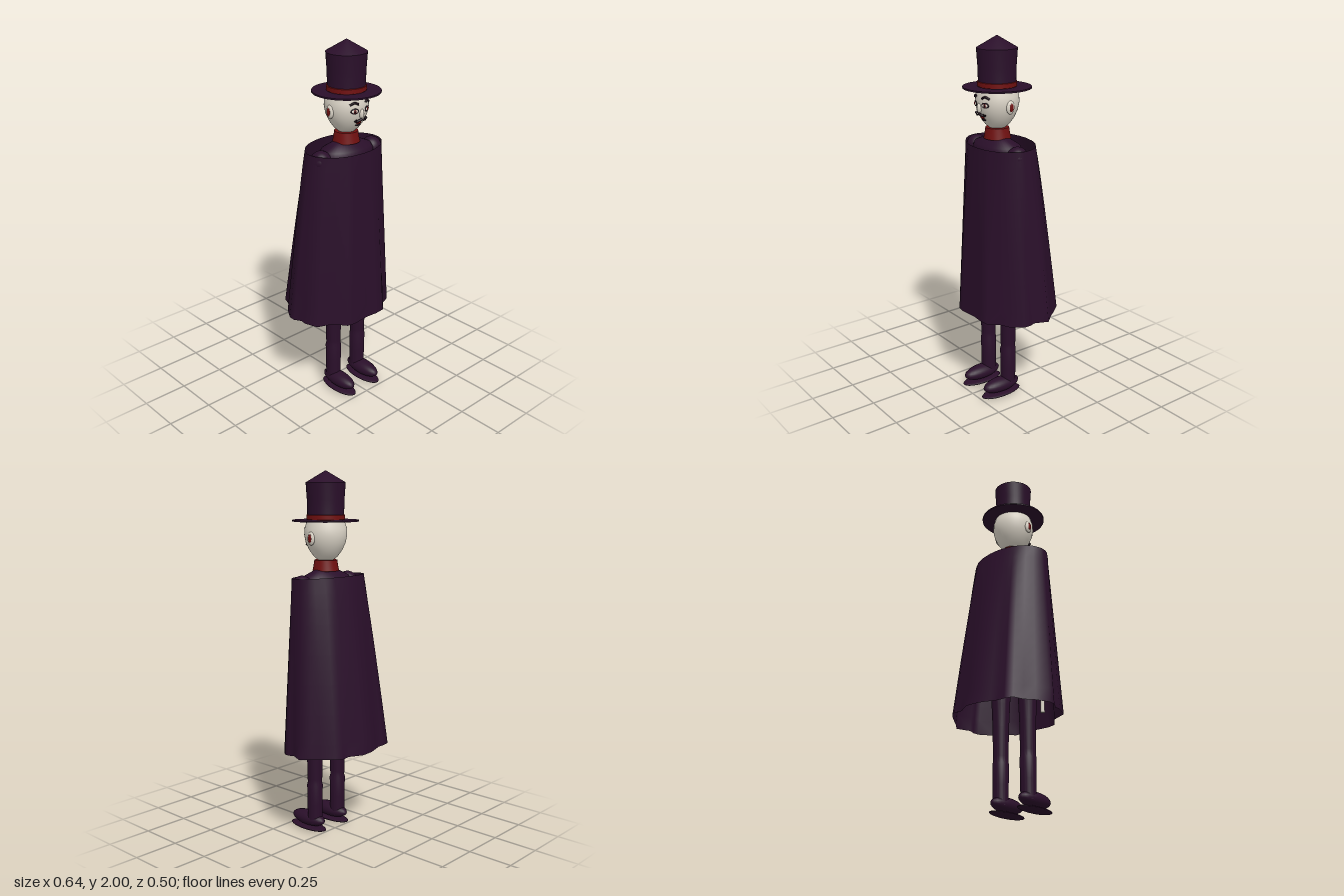
import * as THREE from 'three';
import { toCreasedNormals } from 'three/addons/utils/BufferGeometryUtils.js';

const mat = (name, color, side = THREE.FrontSide) => {
  const m = new THREE.MeshStandardMaterial({ color, side });
  m.name = name;
  return m;
};
const V = (x, y, z) => new THREE.Vector3(x, y, z);
const CZ = 0.068; // depth of the body axis

export function createModel() {
  const root = new THREE.Group();
  root.name = 'cloakedGentleman';
  const cloth = mat('darkPurpleCloth', 0x2a0f2a);
  const cloak = mat('cloakCloth', 0x2a0f2a, THREE.DoubleSide);
  const red = mat('deepRed', 0x701010);
  const skin = mat('paleSkin', 0xdcd5c8);
  const ink = mat('blackHair', 0x180a14);

  const add = (name, geo, material, x = 0, y = 0, z = 0, parent = root) => {
    const m = new THREE.Mesh(geo, material);
    m.name = name;
    m.position.set(x, y, z);
    parent.add(m);
    return m;
  };
  const lathe = (pts, crease = 0.6) => toCreasedNormals(
    new THREE.LatheGeometry(pts.map(p => new THREE.Vector2(...p)), 40), crease);
  const ball = (sx, sy, sz) => new THREE.SphereGeometry(1, 24, 16).scale(sx, sy, sz);
  const tube = (pts, r) => new THREE.TubeGeometry(new THREE.CatmullRomCurve3(pts), 16, r, 8);

  // Hat: crown with a shallow cone top, red band, thin brim
  add('hatCrown', lathe([[0.1, 1.735], [0.099, 1.78], [0.101, 1.85], [0.107, 1.937], [0, 2]]), cloth, 0, 0, CZ);
  add('hatBand', lathe([[0.1, 1.741], [0.104, 1.743], [0.104, 1.766], [0.099, 1.768]]), red, 0, 0, CZ);
  add('hatBrim', new THREE.CylinderGeometry(0.18, 0.18, 0.008, 48), cloth, 0, 1.736, CZ);

  // Egg-shaped head
  const headProfile = [[0, 1.512], [0.035, 1.52], [0.065, 1.545], [0.09, 1.58], [0.108, 1.62],
    [0.116, 1.66], [0.114, 1.695], [0.103, 1.73], [0, 1.735]];
  add('head', lathe(headProfile, 1.2), skin, 0, 0, CZ);
  // Depth of the face surface at a given x, y
  const faceZ = (x, y) => {
    const i = headProfile.findIndex(p => p[1] >= y);
    const [a, b] = [headProfile[i - 1], headProfile[i]];
    const r = a[0] + (b[0] - a[0]) * (y - a[1]) / (b[1] - a[1]);
    return CZ + Math.sqrt(Math.max(0, r * r - x * x));
  };
  const onFace = (x, y, out = 0) => V(x, y, faceZ(x, y) + out);

  // Paired face features
  for (const s of [1, -1]) {
    const side = s > 0 ? 'left' : 'right';
    add(side + 'Ear', ball(0.013, 0.036, 0.024), skin, s * 0.113, 1.645, CZ);
    add(side + 'InnerEar', ball(0.005, 0.022, 0.012), red, s * 0.1235, 1.645, CZ);
    const e = onFace(s * 0.042, 1.656);
    const eye = new THREE.Group();
    eye.name = side + 'Eye';
    eye.position.copy(e);
    eye.rotation.y = s * 0.36;
    root.add(eye);
    add('eyeOutline', ball(0.023, 0.015, 0.004), ink, 0, 0, 0, eye);
    add('eyeWhite', ball(0.018, 0.009, 0.004), skin, 0, 0, 0.002, eye);
    add('iris', ball(0.009, 0.009, 0.004), red, 0, 0, 0.0035, eye);
    add('pupil', ball(0.005, 0.005, 0.004), ink, 0, 0, 0.005, eye);
    add(side + 'Brow', tube([onFace(s * 0.022, 1.69, 0.001), onFace(s * 0.042, 1.699, 0.002),
      onFace(s * 0.066, 1.688, 0.001)], 0.006), ink);
    add(side + 'Moustache', tube([onFace(0, 1.611, 0.014), onFace(s * 0.015, 1.605, 0.014),
      onFace(s * 0.03, 1.601, 0.01), onFace(s * 0.041, 1.613, 0.01)], 0.007), ink);
  }
  add('nose', ball(0.012, 0.026, 0.014), skin, 0, 1.638, faceZ(0, 1.638) + 0.002);
  add('mouth', ball(0.017, 0.006, 0.005), red, 0, 1.586, faceZ(0, 1.586));
  add('chinTuft', ball(0.018, 0.007, 0.006), ink, 0, 1.574, faceZ(0, 1.574));

  // Red collar and sloping torso
  add('collar', lathe([[0.05, 1.465], [0.072, 1.468], [0.066, 1.5], [0.062, 1.526], [0.03, 1.528]]), red, 0, 0, CZ);
  const torso = add('torso', lathe([[0, 0.85], [0.14, 0.86], [0.13, 1.05], [0.155, 1.3], [0.17, 1.41],
    [0.155, 1.438], [0.07, 1.475], [0, 1.48]], 0.8), cloth, 0, 0, CZ);
  torso.scale.z = 0.62;

  // Arms, hands, legs and shoes
  for (const s of [1, -1]) {
    const side = s > 0 ? 'left' : 'right';
    add(side + 'Shoulder', ball(0.055, 0.055, 0.056), cloth, s * 0.18, 1.398, 0.072);
    add(side + 'Arm', tube([V(s * 0.185, 1.4, 0.072), V(s * 0.2, 1.1, 0.065), V(s * 0.2, 0.86, 0.07)], 0.038), cloth);
    add(side + 'Hand', ball(0.025, 0.06, 0.035), skin, s * 0.2, 0.82, 0.07);

    add(side + 'Leg', lathe([[0.065, 0.9], [0.05, 0.6], [0.044, 0.47], [0.041, 0.31], [0.04, 0.285],
      [0.044, 0.27], [0.042, 0.16], [0.041, 0.05]].reverse()), cloth, s * 0.093, 0, CZ);
    add(side + 'Shoe', ball(0.048, 0.041, 0.117), cloth, s * 0.093, 0.062, 0.117);
    add(side + 'Sole', ball(0.053, 0.0125, 0.127), cloth, s * 0.093, 0.0125, 0.118);
  }
  // Slim cane held inside the cloak
  add('cane', new THREE.CylinderGeometry(0.011, 0.011, 0.42, 12), skin, -0.2, 0.7, 0.06);

  // Cloak: an oval neckline blending down into a wavy hem
  const hem = [[0.045, -0.25], [-0.03, -0.245], [-0.09, -0.225], [-0.13, -0.21], [-0.17, -0.21], [-0.22, -0.2],
    [-0.24, -0.145], [-0.285, -0.1], [-0.323, -0.035], [-0.323, 0], [-0.3, 0.035], [-0.302, 0.07],
    [-0.275, 0.14], [-0.19, 0.17], [-0.14, 0.235], [-0.095, 0.245], [0, 0.235], [0.075, 0.242],
    [0.13, 0.238], [0.185, 0.185], [0.235, 0.165], [0.29, 0.105], [0.295, 0.07], [0.285, 0.035],
    [0.322, -0.035], [0.28, -0.085], [0.25, -0.13], [0.205, -0.19], [0.17, -0.215], [0.12, -0.21]];
  const rows = 12, n = hem.length, pos = [], idx = [];
  for (let j = 0; j <= rows; j++) {
    const t = j / rows, k = Math.pow(t, 0.85);
    for (const [hx, hz] of hem) {
      const a = Math.atan2(hz / 0.245, hx / 0.315);
      const tx = 0.238 * Math.cos(a), tz = 0.05 + 0.15 * Math.sin(a);
      const topY = 1.44 - 0.008 * Math.sin(a), hemY = 0.49 - 0.01 * Math.sin(a);
      pos.push(tx + (hx - tx) * t, topY + (hemY - topY) * t, tz + (hz - tz) * k);
    }
  }
  for (let j = 0; j < rows; j++) {
    for (let i = 0; i < n; i++) {
      const a = j * n + i, b = j * n + (i + 1) % n;
      idx.push(a, b, a + n, b, b + n, a + n);
    }
  }
  const cg = new THREE.BufferGeometry();
  cg.setAttribute('position', new THREE.Float32BufferAttribute(pos, 3));
  cg.setIndex(idx);
  // Outward faces follow the hem order; flip if the first normal points inward
  cg.computeVertexNormals();
  if (cg.attributes.normal.getZ(0) > 0) {
    cg.setIndex(idx.slice().reverse());
    cg.computeVertexNormals();
  }
  add('cloak', cg, cloak);

  return root;
}
